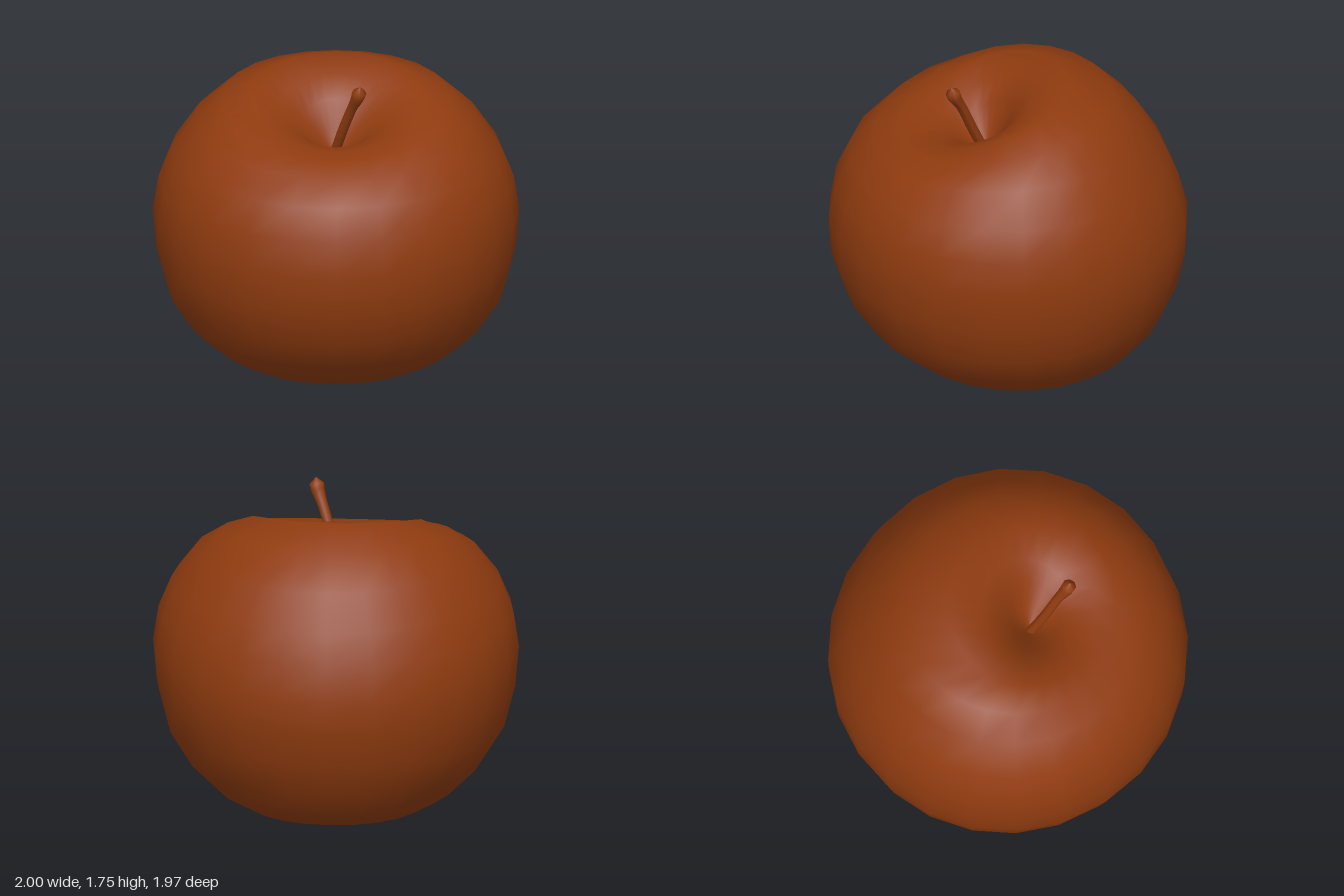
import * as THREE from 'three';

const SEGMENTS = 24;

// Body rings, bottom to top: [half width, front z, back z, front y, back y, side y]
const RINGS = [
  [0, -0.04, -0.04, 0.15, 0.15, 0.15],
  [0.13, 0.08, -0.17, 0.12, 0.13, 0.12],
  [0.24, 0.2, -0.28, 0.05, 0.07, 0.05],
  [0.36, 0.34, -0.42, 0.015, 0.025, 0.005],
  [0.5, 0.46, -0.58, 0.06, 0.05, 0.035],
  [0.65, 0.6, -0.72, 0.13, 0.14, 0.12],
  [0.8, 0.78, -0.85, 0.28, 0.31, 0.26],
  [0.92, 0.9, -0.93, 0.46, 0.5, 0.45],
  [0.98, 0.97, -0.975, 0.67, 0.7, 0.68],
  [1, 0.985, -0.98, 0.88, 0.88, 0.91],
  [0.97, 0.95, -0.93, 1.08, 1.07, 1.1],
  [0.9, 0.87, -0.86, 1.25, 1.24, 1.27],
  [0.77, 0.74, -0.74, 1.37, 1.43, 1.45],
  [0.62, 0.6, -0.57, 1.42, 1.61, 1.56],
  [0.46, 0.48, -0.32, 1.43, 1.7, 1.6],
  [0.3, 0.36, -0.14, 1.41, 1.65, 1.53],
  [0.19, 0.28, -0.03, 1.37, 1.54, 1.44],
  [0.09, 0.2, 0.04, 1.31, 1.38, 1.34],
  [0, 0.12, 0.12, 1.26, 1.26, 1.26],
];

// Lofts the rings, blending front, side and back heights around each one
function bodyGeometry() {
  const positions = [], indices = [];
  for (const [w, zf, zb, yf, yb, ys] of RINGS) {
    for (let i = 0; i < SEGMENTS; i++) {
      const a = (i / SEGMENTS) * Math.PI * 2;
      const s = Math.sin(a), c = Math.cos(a);
      const mid = (yf + yb) / 2;
      positions.push(
        w * s,
        mid + ((yf - yb) / 2) * c + (ys - mid) * s * s,
        (zf + zb) / 2 + ((zf - zb) / 2) * c,
      );
    }
  }
  for (let j = 0; j < RINGS.length - 1; j++) {
    for (let i = 0; i < SEGMENTS; i++) {
      const a = j * SEGMENTS + i, b = j * SEGMENTS + (i + 1) % SEGMENTS;
      if (j > 0) indices.push(a, b, b + SEGMENTS);
      if (j < RINGS.length - 2) indices.push(a, b + SEGMENTS, a + SEGMENTS);
      else indices.push(a, b, a + SEGMENTS);
      if (j === RINGS.length - 2) indices.splice(-6, 3);
    }
  }
  const g = new THREE.BufferGeometry();
  g.setAttribute('position', new THREE.Float32BufferAttribute(positions, 3));
  g.setIndex(indices);
  g.computeVertexNormals();
  return g;
}

// Tapered tube that flares near the tip and closes at its end
function stemGeometry() {
  const curve = new THREE.CatmullRomCurve3([
    [-0.02, 1.24, 0.12], [0.03, 1.43, 0.2], [0.085, 1.6, 0.265],
    [0.12, 1.69, 0.31], [0.13, 1.75, 0.325],
  ].map((p) => new THREE.Vector3(...p)));
  const g = new THREE.TubeGeometry(curve, 16, 1, 8, false);
  const pos = g.attributes.position, uv = g.attributes.uv;
  const v = new THREE.Vector3();
  for (let i = 0; i < pos.count; i++) {
    const t = uv.getX(i);
    const center = curve.getPointAt(t);
    const radius = t > 0.99 ? 0 : 0.028 + 0.012 * THREE.MathUtils.smoothstep(t, 0.7, 0.95);
    v.fromBufferAttribute(pos, i).sub(center).multiplyScalar(radius).add(center);
    pos.setXYZ(i, v.x, v.y, v.z);
  }
  g.computeVertexNormals();
  return g;
}

export function createModel() {
  const group = new THREE.Group();
  group.name = 'apple';
  const skin = new THREE.MeshStandardMaterial({ color: 0x8f3b0f });
  skin.name = 'russet brown';

  const add = (name, geometry, parent = group) => {
    const mesh = new THREE.Mesh(geometry, skin);
    mesh.name = name;
    parent.add(mesh);
    return mesh;
  };

  add('body', bodyGeometry());
  add('stem', stemGeometry());

  // Dried blossom end in the lower hollow
  const calyx = new THREE.Group();
  calyx.name = 'calyx';
  calyx.position.set(0, 0.13, -0.04);
  group.add(calyx);
  for (let i = 0; i < 5; i++) {
    const a = (i / 5) * Math.PI * 2;
    const leaf = add('sepal', new THREE.ConeGeometry(0.03, 0.1, 5), calyx);
    leaf.scale.z = 0.5;
    leaf.position.set(Math.sin(a) * 0.05, -0.02, Math.cos(a) * 0.05);
    leaf.rotation.set(Math.PI + 0.5, a, 0, 'YXZ');
  }
  return group;
}
